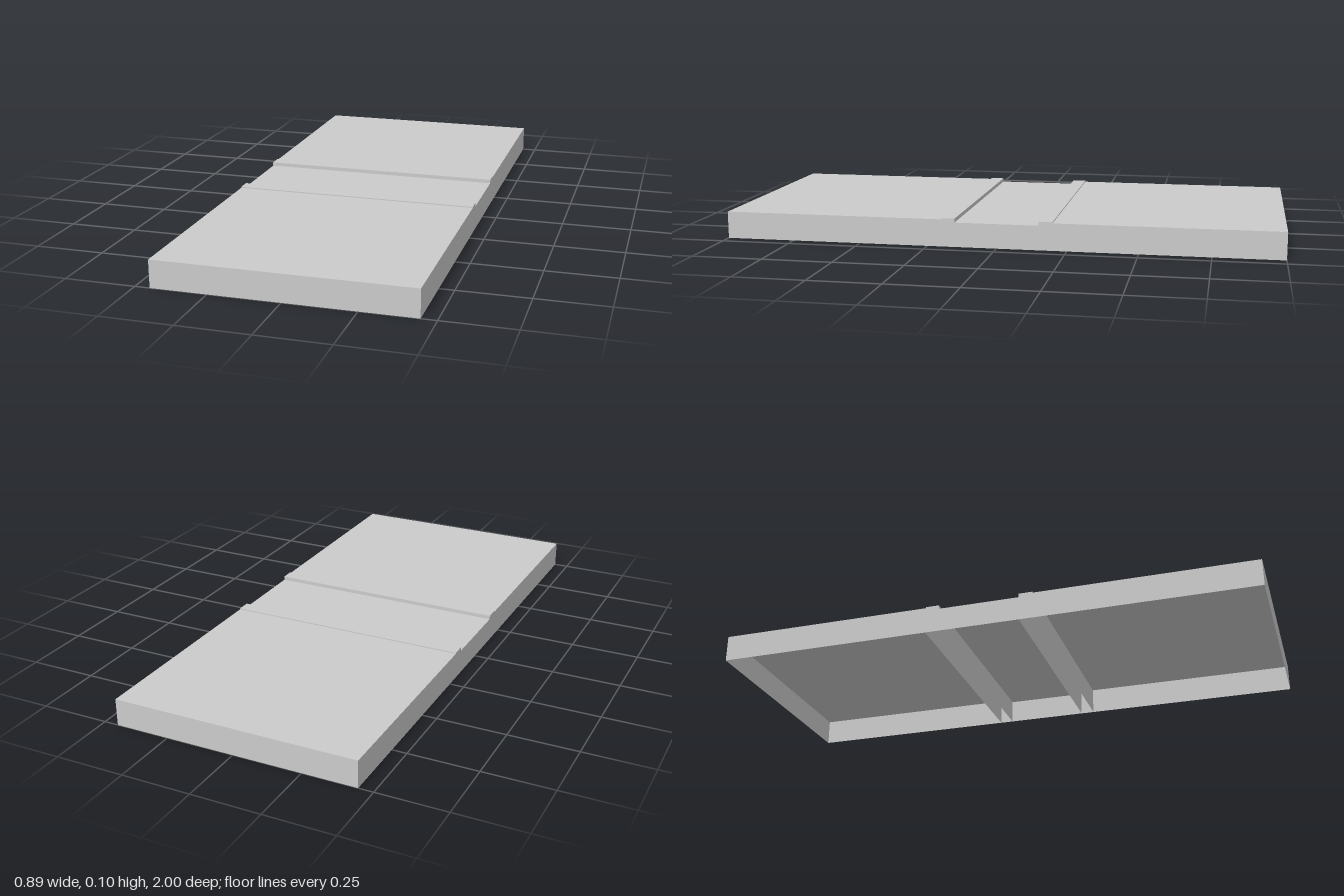
import * as THREE from 'three';

const WIDTH = 0.895;
const material = new THREE.MeshStandardMaterial({ color: 0xcccccc, side: THREE.DoubleSide });

// Thin-walled box, open underneath, spanning z0..z1 and standing on the ground
function openBox(name, z0, z1, height) {
  const geometry = new THREE.BoxGeometry(WIDTH, height, z1 - z0);
  const index = Array.from(geometry.index.array);
  index.splice(18, 6); // drop the bottom face
  geometry.setIndex(index);
  geometry.clearGroups();
  geometry.translate(0, height / 2, (z0 + z1) / 2);
  const mesh = new THREE.Mesh(geometry, material);
  mesh.name = name;
  return mesh;
}

export function createModel() {
  const model = new THREE.Group();
  model.name = 'slab';

  // Sunken strip across the middle
  model.add(openBox('centreChannel', -0.15, 0.15, 0.088));

  // Raised lips beside the channel
  model.add(openBox('frontLip', 0.15, 0.2, 0.102));
  model.add(openBox('backLip', -0.2, -0.15, 0.102));

  // Large flat panels at both ends
  model.add(openBox('frontPanel', 0.2, 1, 0.098));
  model.add(openBox('backPanel', -1, -0.2, 0.098));

  return model;
}
